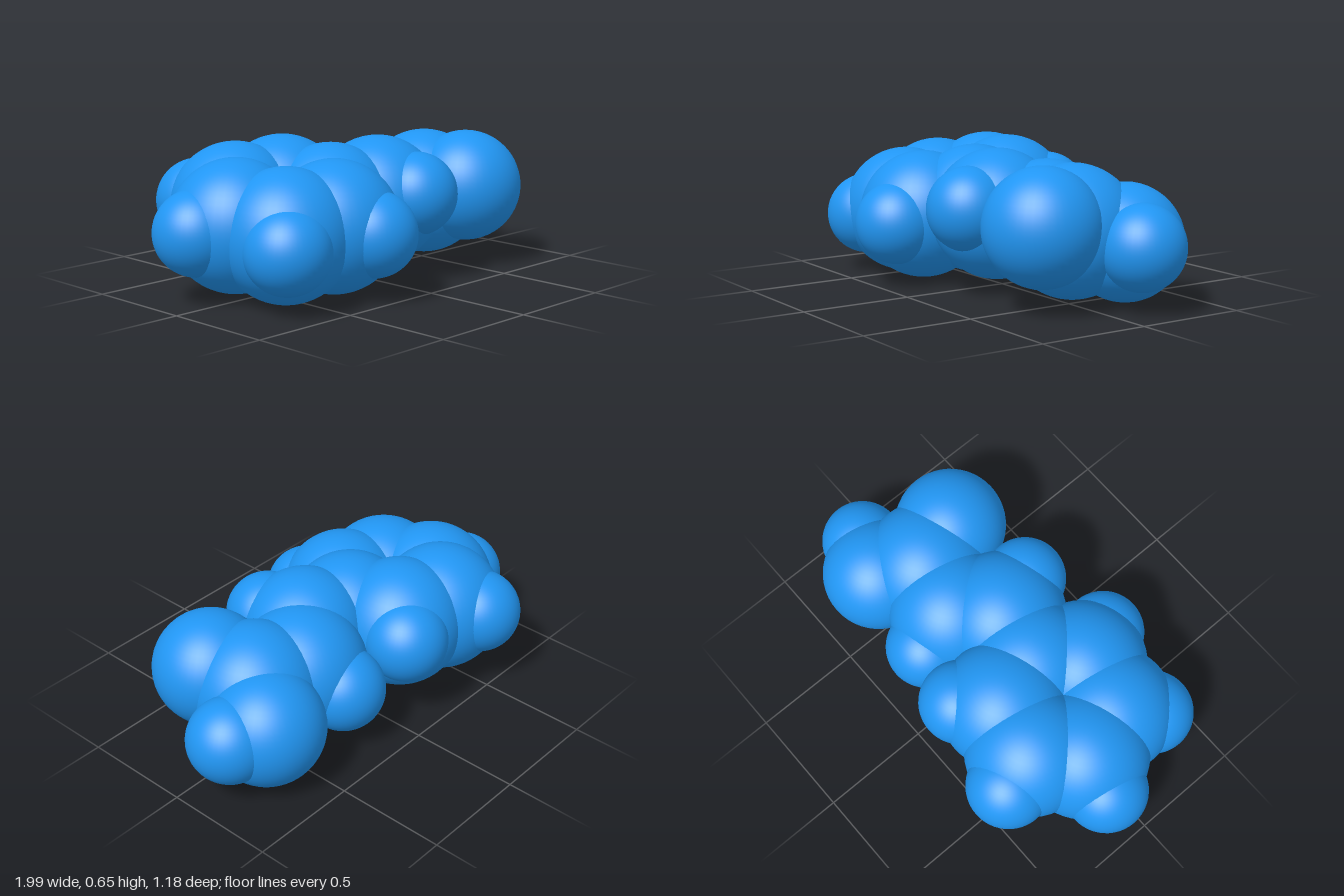
import * as THREE from 'three';

const RADIUS = { carbon: 0.29, oxygen: 0.256, hydrogen: 0.187 };

export function createModel() {
  const model = new THREE.Group();
  model.name = 'spaceFillingMolecule';
  const material = new THREE.MeshStandardMaterial({ color: 0x2196f3 });
  const geometries = {};
  for (const [kind, radius] of Object.entries(RADIUS)) {
    geometries[kind] = new THREE.SphereGeometry(radius, 48, 32);
  }

  function addAtom(parent, kind, name, position) {
    const atom = new THREE.Mesh(geometries[kind], material);
    atom.name = name;
    atom.position.copy(position);
    parent.add(atom);
  }
  const v = (x, y, z) => new THREE.Vector3(x, y, z);

  // Six-membered ring, slightly tilted: unit directions in its plane
  const ring = new THREE.Group();
  ring.name = 'ring';
  model.add(ring);
  const centre = v(-0.39, 0.333, -0.005);
  const toChain = v(0.42, 0.02, 0.085).normalize();
  const across = v(0.085, 0.057, -0.427);
  across.addScaledVector(toChain, -across.dot(toChain)).normalize();
  for (let i = 0; i < 6; i++) {
    const a = (i * Math.PI) / 3;
    const dir = toChain.clone().multiplyScalar(Math.cos(a)).addScaledVector(across, Math.sin(a));
    addAtom(ring, 'carbon', `ringCarbon${i + 1}`, centre.clone().addScaledVector(dir, 0.24));
    // The first ring carbon carries the chain instead of a hydrogen
    if (i > 0) addAtom(ring, 'hydrogen', `ringHydrogen${i + 1}`, centre.clone().addScaledVector(dir, 0.428));
  }

  // Two-carbon link
  const link = new THREE.Group();
  link.name = 'chainLink';
  model.add(link);
  addAtom(link, 'carbon', 'innerChainCarbon', v(0.093, 0.355, 0.093));
  addAtom(link, 'hydrogen', 'innerChainHydrogen', v(0.147, 0.397, 0.273));
  addAtom(link, 'carbon', 'outerChainCarbon', v(0.27, 0.315, -0.052));
  addAtom(link, 'hydrogen', 'outerChainHydrogen', v(0.222, 0.272, -0.247));

  // Acid end group
  const acid = new THREE.Group();
  acid.name = 'acidGroup';
  model.add(acid);
  addAtom(acid, 'carbon', 'acidCarbon', v(0.515, 0.327, -0.003));
  addAtom(acid, 'oxygen', 'frontOxygen', v(0.58, 0.37, 0.197));
  addAtom(acid, 'oxygen', 'backOxygen', v(0.64, 0.28, -0.188));
  addAtom(acid, 'hydrogen', 'acidHydrogen', v(0.811, 0.286, -0.143));

  return model;
}
